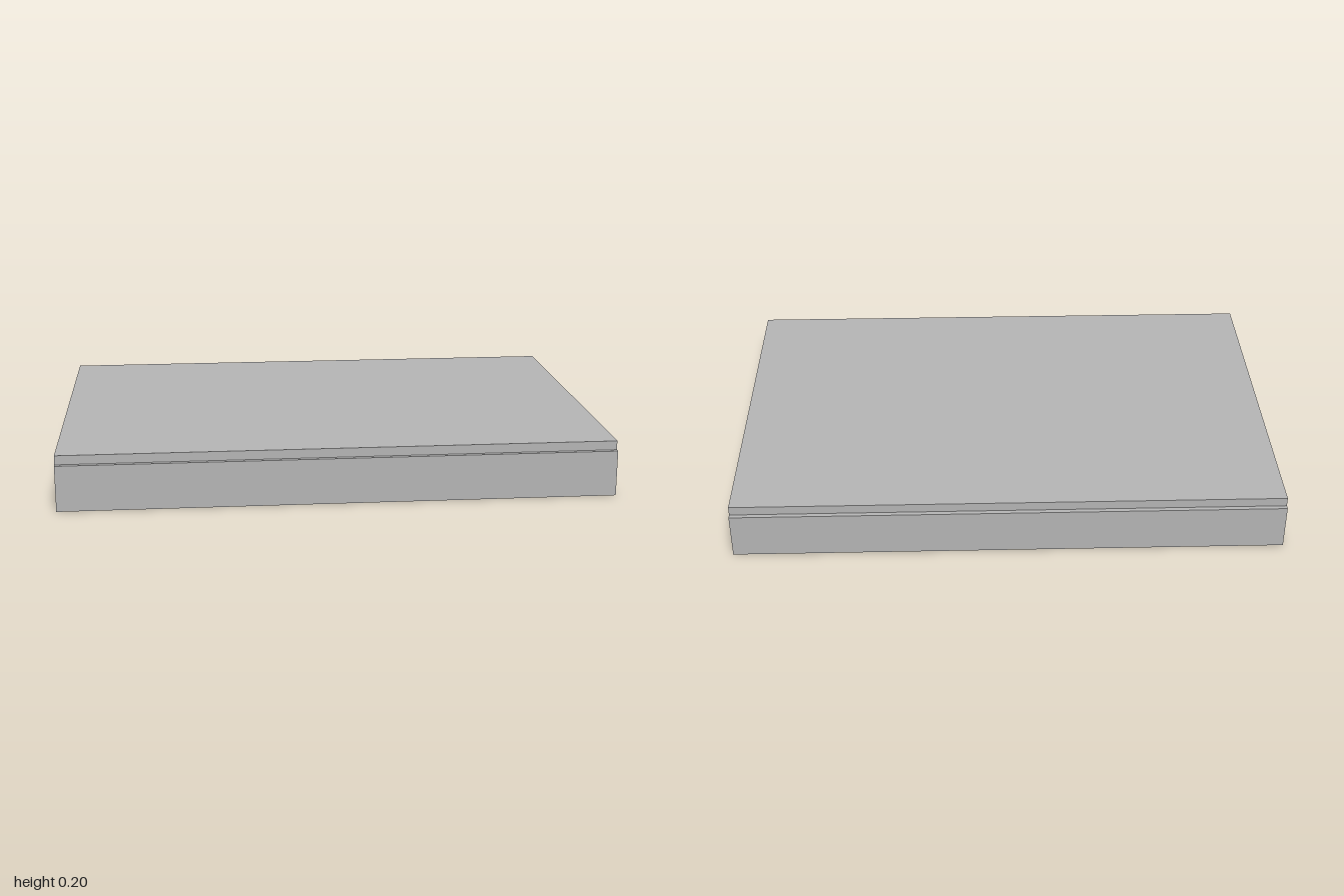
import * as THREE from 'three';

export function createModel() {
  const model = new THREE.Group();
  model.name = 'pallet';

  const grey = new THREE.MeshStandardMaterial({ color: 0xb3b3b3 });
  grey.name = 'plain grey';

  const length = 2;
  const runnerHeight = 0.167;
  const runnerWidth = 0.167;
  const deckThickness = 0.033;

  function addBox(name, height, depth, y, z) {
    const mesh = new THREE.Mesh(new THREE.BoxGeometry(length, height, depth), grey);
    mesh.name = name;
    mesh.position.set(0, y + height / 2, z);
    model.add(mesh);
  }

  // Three runners along x; the outer two stand slightly proud of the deck
  const runners = { backRunner: -0.6, middleRunner: 0, frontRunner: 0.6 };
  for (const [name, z] of Object.entries(runners)) {
    addBox(name, runnerHeight, runnerWidth, 0, z);
  }

  // Flat deck resting on the runners
  addBox('deck', deckThickness, 1.333, runnerHeight, 0);

  return model;
}
